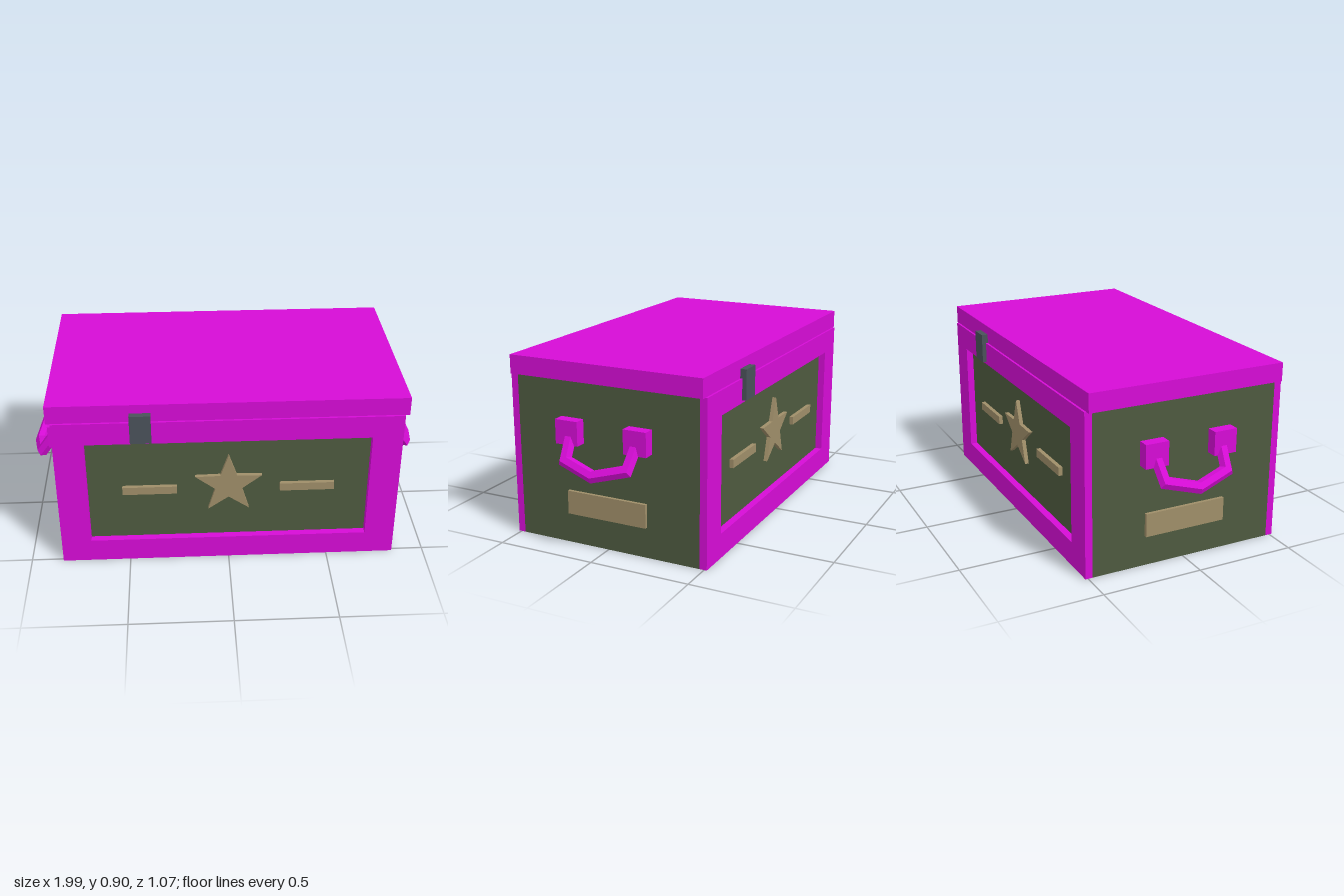
import * as THREE from 'three';

function mat(name, color) {
  const m = new THREE.MeshStandardMaterial({ color });
  m.name = name;
  return m;
}

export function createModel() {
  const magenta = mat('magenta', 0xd60cd6);
  const green = mat('olive green', 0x4e5a3f);
  const tan = mat('tan', 0x9f8e69);
  const steel = mat('dark steel', 0x4a525a);

  const model = new THREE.Group();
  model.name = 'chest';

  function add(parent, name, geometry, material, x = 0, y = 0, z = 0) {
    const mesh = new THREE.Mesh(geometry, material);
    mesh.name = name;
    mesh.position.set(x, y, z);
    parent.add(mesh);
    return mesh;
  }
  // Box given by its limits on each axis
  function box(parent, name, material, x0, x1, y0, y1, z0, z1) {
    return add(parent, name, new THREE.BoxGeometry(x1 - x0, y1 - y0, z1 - z0), material,
      (x0 + x1) / 2, (y0 + y1) / 2, (z0 + z1) / 2);
  }
  const rect = (P, x0, x1, y0, y1) => new P([[x0, y0], [x1, y0], [x1, y1], [x0, y1]]
    .map(([x, y]) => new THREE.Vector2(x, y)));

  // Body and lid
  box(model, 'body', green, -0.84, 0.84, 0, 0.81, -0.478, 0.478);
  box(model, 'lid', magenta, -0.862, 0.862, 0.808, 0.9, -0.503, 0.503);

  // Frame around the recessed front panel
  const frameShape = rect(THREE.Shape, -0.84, 0.84, 0, 0.809);
  frameShape.holes.push(rect(THREE.Path, -0.692, 0.692, 0.122, 0.692));
  const frameGeometry = new THREE.ExtrudeGeometry(frameShape, { depth: 0.036, bevelEnabled: false });

  // Five-pointed star
  const starPoints = [];
  for (let i = 0; i < 10; i++) {
    const r = i % 2 ? 0.069 : 0.172, a = Math.PI / 2 + i * Math.PI / 5;
    starPoints.push(new THREE.Vector2(r * Math.cos(a), r * Math.sin(a)));
  }
  const starGeometry = new THREE.ExtrudeGeometry(new THREE.Shape(starPoints), { depth: 0.02, bevelEnabled: false });

  // Front and back are the same, turned half round
  for (const [name, turn] of [['front', 0], ['back', Math.PI]]) {
    const face = new THREE.Group();
    face.name = name;
    face.rotation.y = turn;
    model.add(face);
    add(face, 'frame', frameGeometry, magenta, 0, 0, 0.478);
    add(face, 'star', starGeometry, tan, 0, 0.428, 0.478);
    for (const s of [-1, 1]) {
      add(face, 'bar', new THREE.BoxGeometry(0.268, 0.042, 0.02), tan, s * 0.388, 0.407, 0.488);
    }
    box(face, 'latch', steel, -0.47, -0.368, 0.706, 0.855, 0.49, 0.535);
  }

  // Handle: hexagonal bar swept along a path in a sloping plane, mitred at the bends
  function handleGeometry() {
    const path = [[-0.163, 0.172], [-0.052, 0.162], [0, 0], [-0.052, -0.162], [-0.163, -0.172]]
      .map(p => new THREE.Vector2(...p));
    const down = new THREE.Vector3(0.57, -0.82, 0).normalize();
    const normal = new THREE.Vector3(0.82, 0.57, 0).normalize();
    const axisZ = new THREE.Vector3(0, 0, 1);
    const dirs = path.slice(1).map((p, i) => p.clone().sub(path[i]).normalize());
    const positions = [], index = [], sides = 6;
    path.forEach((p, i) => {
      const a = dirs[Math.max(i - 1, 0)], b = dirs[Math.min(i, dirs.length - 1)];
      const t = a.clone().add(b).normalize();
      const side = new THREE.Vector2(-t.y, t.x).divideScalar(t.dot(a));
      for (let k = 0; k < sides; k++) {
        const u = 0.03 * Math.cos(k * Math.PI / 3), v = 0.03 * Math.sin(k * Math.PI / 3);
        const q = new THREE.Vector3(0.967, 0.407, 0)
          .addScaledVector(down, p.x + side.x * u)
          .addScaledVector(axisZ, p.y + side.y * u)
          .addScaledVector(normal, v);
        positions.push(q.x, q.y, q.z);
        if (i < path.length - 1) {
          const c = i * sides + k, d = i * sides + (k + 1) % sides;
          index.push(c, d, d + sides, c, d + sides, c + sides);
        }
      }
    });
    // End caps
    const last = (path.length - 1) * sides;
    for (let k = 1; k < sides - 1; k++) {
      index.push(0, k + 1, k, last, last + k, last + k + 1);
    }
    // Turn the faces outward if the sweep ran the other way
    let volume = 0;
    const at = i => new THREE.Vector3().fromArray(positions, i * 3);
    for (let i = 0; i < index.length; i += 3) {
      volume += at(index[i]).dot(at(index[i + 1]).cross(at(index[i + 2])));
    }
    if (volume < 0) index.reverse();
    const indexed = new THREE.BufferGeometry();
    indexed.setAttribute('position', new THREE.Float32BufferAttribute(positions, 3));
    indexed.setIndex(index);
    const g = indexed.toNonIndexed();
    g.computeVertexNormals();
    return g;
  }
  const handle = handleGeometry();

  // Left and right ends
  for (const [name, turn] of [['leftEnd', 0], ['rightEnd', Math.PI]]) {
    const end = new THREE.Group();
    end.name = name;
    end.rotation.y = turn;
    model.add(end);
    box(end, 'plate', tan, 0.835, 0.856, 0.152, 0.268, -0.209, 0.209);
    for (const s of [-1, 1]) {
      add(end, 'handleMount', new THREE.BoxGeometry(0.06, 0.118, 0.118), magenta, 0.866, 0.57, s * 0.18);
    }
    add(end, 'handle', handle, magenta);
  }
  return model;
}
